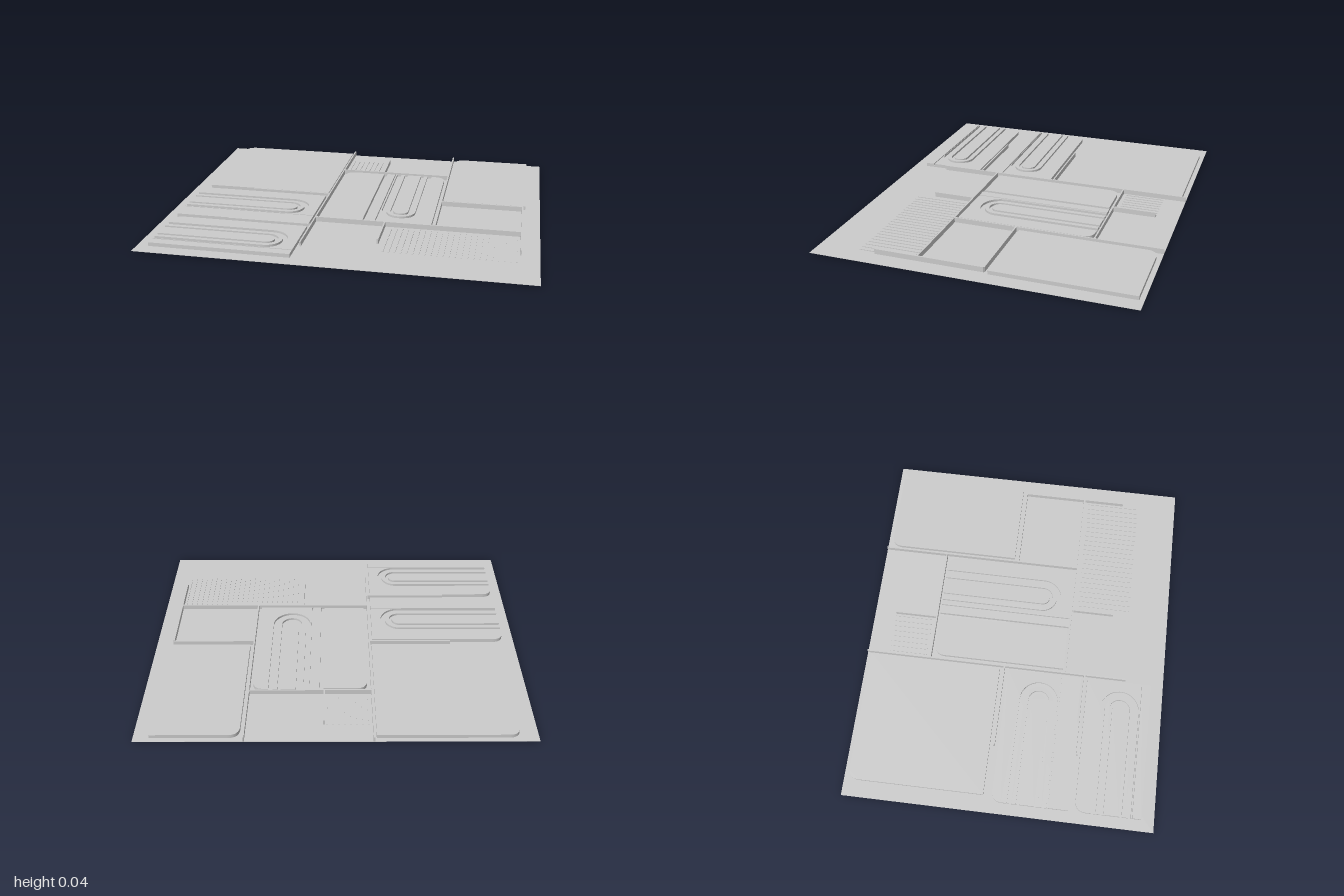
import * as THREE from 'three';

const GROUND = 0.008, SLAB_TOP = 0.028, WALL_TOP = 0.035, GROOVE = 0.016;
const material = new THREE.MeshStandardMaterial({ color: 0xcccccc });

// Box given by its lower and upper bounds
function block(name, x0, x1, y0, y1, z0, z1) {
  const mesh = new THREE.Mesh(new THREE.BoxGeometry(x1 - x0, y1 - y0, z1 - z0), material);
  mesh.name = name;
  mesh.position.set((x0 + x1) / 2, (y0 + y1) / 2, (z0 + z1) / 2);
  return mesh;
}

// Plan shape (drawn as x, -z) raised between two heights
function raise(name, shape, y0, y1) {
  const geo = new THREE.ExtrudeGeometry(shape, { depth: y1 - y0, bevelEnabled: false, curveSegments: 16 });
  geo.rotateX(-Math.PI / 2);
  const mesh = new THREE.Mesh(geo, material);
  mesh.name = name;
  mesh.position.y = y0;
  return mesh;
}

// Rectangle with one rounded corner at the upper left
function roundedPlan(x0, x1, z0, z1, r = 0.06) {
  const s = new THREE.Shape();
  s.moveTo(x0, -z1);
  s.lineTo(x1, -z1);
  s.lineTo(x1, -z0);
  s.lineTo(x0 + r, -z0);
  s.quadraticCurveTo(x0, -z0, x0, -z0 - r);
  s.closePath();
  return s;
}

// Slab of length L along +x and width W along +z, with U-shaped grooves open at x = 0
function groovedSlab(name, L, W, axis, bend, line) {
  const g = new THREE.Group();
  g.name = name;
  const lower = roundedPlan(0, L, 0, W);
  g.add(raise('slabBase', lower, GROUND, GROOVE));

  // Outer field, notched for the outer groove
  const R = [0.105, 0.08, 0.057, 0.04];
  const field = new THREE.Shape();
  const far = line - 0.003;
  field.moveTo(0, -far);
  field.lineTo(L, -far);
  field.lineTo(L, 0);
  field.lineTo(0.06, 0);
  field.quadraticCurveTo(0, 0, 0, -0.06);
  field.lineTo(0, -axis + R[0]);
  field.lineTo(bend, -axis + R[0]);
  field.absarc(bend, -axis, R[0], Math.PI / 2, -Math.PI / 2, true);
  field.lineTo(0, -axis - R[0]);
  field.closePath();
  g.add(raise('slabField', field, GROOVE, SLAB_TOP));

  // U-shaped band between the grooves
  const band = new THREE.Shape();
  band.moveTo(0, -axis - R[1]);
  band.lineTo(bend, -axis - R[1]);
  band.absarc(bend, -axis, R[1], -Math.PI / 2, Math.PI / 2, false);
  band.lineTo(0, -axis + R[1]);
  band.lineTo(0, -axis + R[2]);
  band.lineTo(bend, -axis + R[2]);
  band.absarc(bend, -axis, R[2], Math.PI / 2, -Math.PI / 2, true);
  band.lineTo(0, -axis - R[2]);
  band.closePath();
  g.add(raise('grooveBand', band, GROOVE, SLAB_TOP));

  // Inner tongue
  const tongue = new THREE.Shape();
  tongue.moveTo(0, -axis - R[3]);
  tongue.lineTo(bend, -axis - R[3]);
  tongue.absarc(bend, -axis, R[3], -Math.PI / 2, Math.PI / 2, false);
  tongue.lineTo(0, -axis + R[3]);
  tongue.closePath();
  g.add(raise('grooveTongue', tongue, GROOVE, SLAB_TOP));

  // Edge strip beyond the straight groove
  g.add(block('edgeStrip', 0, L, GROOVE, SLAB_TOP, line + 0.003, W));
  return g;
}

export function createModel() {
  const model = new THREE.Group();
  model.name = 'floorPlan';
  model.add(block('ground', -1, 1, 0.006, GROUND, -0.83, 0.83));

  // Plain slabs
  model.add(raise('backLargeSlab', roundedPlan(-0.91, -0.2, -0.805, -0.08), GROUND, SLAB_TOP));
  model.add(raise('backSmallSlab', roundedPlan(0.475, 0.92, -0.805, -0.08), GROUND, SLAB_TOP));
  model.add(raise('middleSlab', roundedPlan(-0.165, 0.065, -0.455, 0.27), GROUND, SLAB_TOP));

  // Grooved slabs: two lying along x, one turned along z
  for (const z of [-0.035, 0.41]) {
    const slab = groovedSlab('sideGroovedSlab', 0.735, 0.35 + (z < 0 ? 0.06 : 0), 0.19, 0.575, 0.3);
    slab.position.set(-0.94, 0, z);
    model.add(slab);
  }
  const turned = groovedSlab('middleGroovedSlab', 0.735, 0.35, 0.185, 0.57, 0.3);
  turned.rotation.y = -Math.PI / 2;
  turned.position.set(0.435, 0, -0.46);
  model.add(turned);

  // Walls running along z: x, z start, z end
  const t = 0.004;
  const alongZ = [
    [-0.188, -0.83, 0.62], [0.455, -0.83, 0.29], [0.905, -0.055, 0.52],
    [0.19, 0.29, 0.52], [0.06, -0.71, -0.475],
  ];
  for (const [x, a, b] of alongZ) model.add(block('longWall', x - t, x + t, GROUND, WALL_TOP, a, b));

  // Walls running along x: z, x start, x end
  const alongX = [
    [-0.475, -0.188, 0.455], [0.29, -0.188, 0.905], [-0.057, 0.455, 0.905],
    [-0.057, -0.64, -0.188], [0.392, -0.64, -0.188],
  ];
  for (const [z, a, b] of alongX) model.add(block('crossWall', a, b, GROUND, WALL_TOP, z - t, z + t));

  // Rows of thin slats passing through the ground
  const slats = (name, x0, count, z0, z1) => {
    const row = new THREE.Group();
    row.name = name;
    for (let i = 0; i < count; i++) {
      const x = x0 + i * 0.03;
      row.add(block('slat', x - 0.003, x + 0.003, 0, 0.012, z0, z1));
    }
    model.add(row);
  };
  slats('frontSlats', 0.23, 23, 0.315, 0.61);
  slats('backSlats', -0.165, 8, -0.71, -0.5);
  return model;
}
